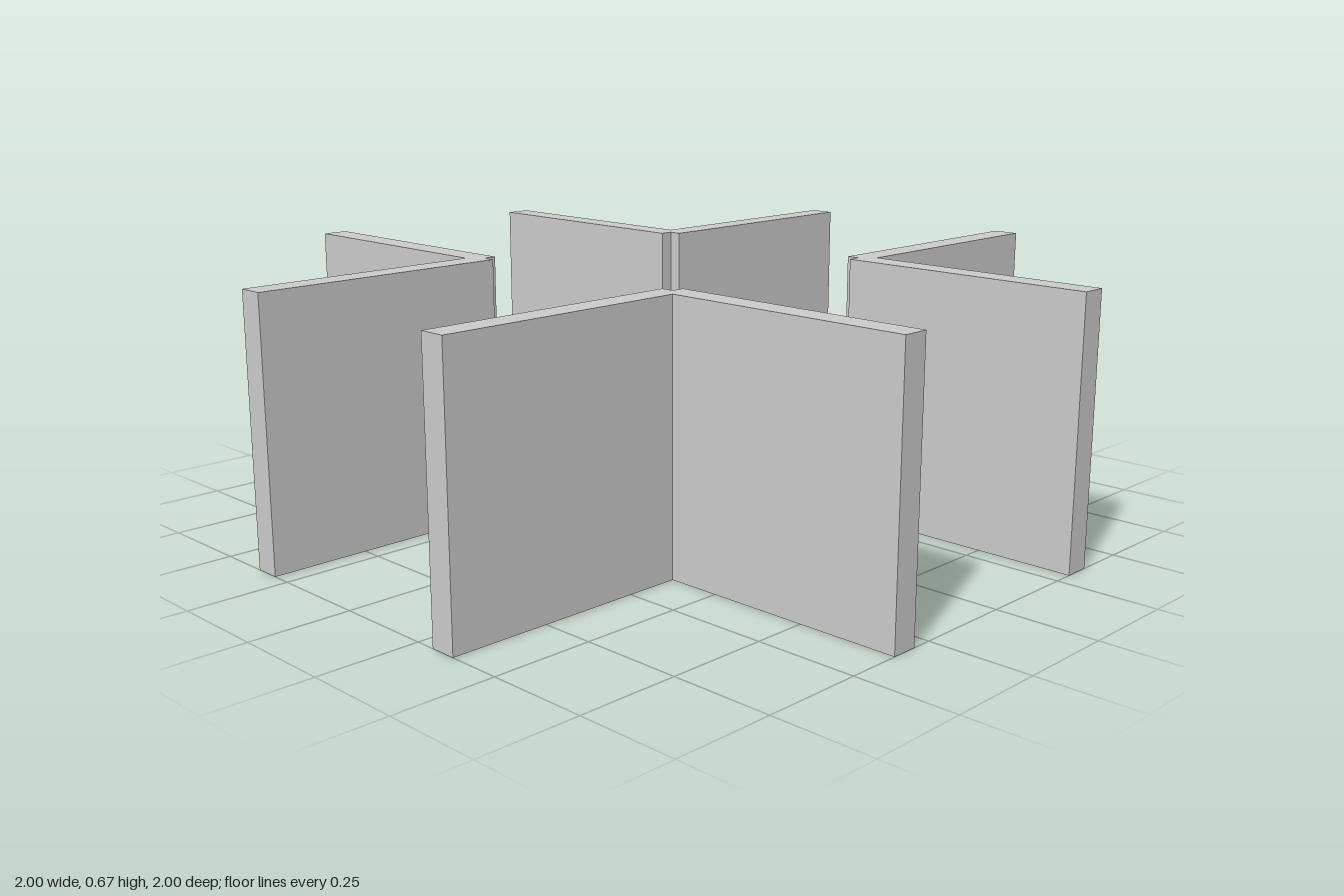
import * as THREE from 'three';

const HEIGHT = 0.667;
const INNER = 0.3;    // inner face of each wall
const MID = 0.333;    // centre line, where the arms start
const OUTER = 0.367;  // outer face of each wall
const END = 1;        // free end of each arm

// L-shaped plan of two wall panels meeting at a notched corner
function cornerGeometry() {
  const plan = new THREE.Shape([
    [END, INNER], [END, OUTER], [OUTER, OUTER], [OUTER, END],
    [INNER, END], [INNER, MID], [MID, MID], [MID, INNER],
  ].map(([x, y]) => new THREE.Vector2(x, y)));
  const geometry = new THREE.ExtrudeGeometry(plan, { depth: HEIGHT, bevelEnabled: false });
  return geometry.rotateX(-Math.PI / 2);
}

export function createModel() {
  const model = new THREE.Group();
  model.name = 'crossingWalls';
  const material = new THREE.MeshStandardMaterial({ color: 0xcccccc, flatShading: true });
  const geometry = cornerGeometry();

  // One corner wall in each quadrant, a quarter turn apart
  ['backLeft', 'backRight', 'frontRight', 'frontLeft'].forEach((place, i) => {
    const wall = new THREE.Mesh(geometry, material);
    wall.name = `${place}CornerWall`;
    wall.rotation.y = i * Math.PI / 2;
    model.add(wall);
  });
  return model;
}
